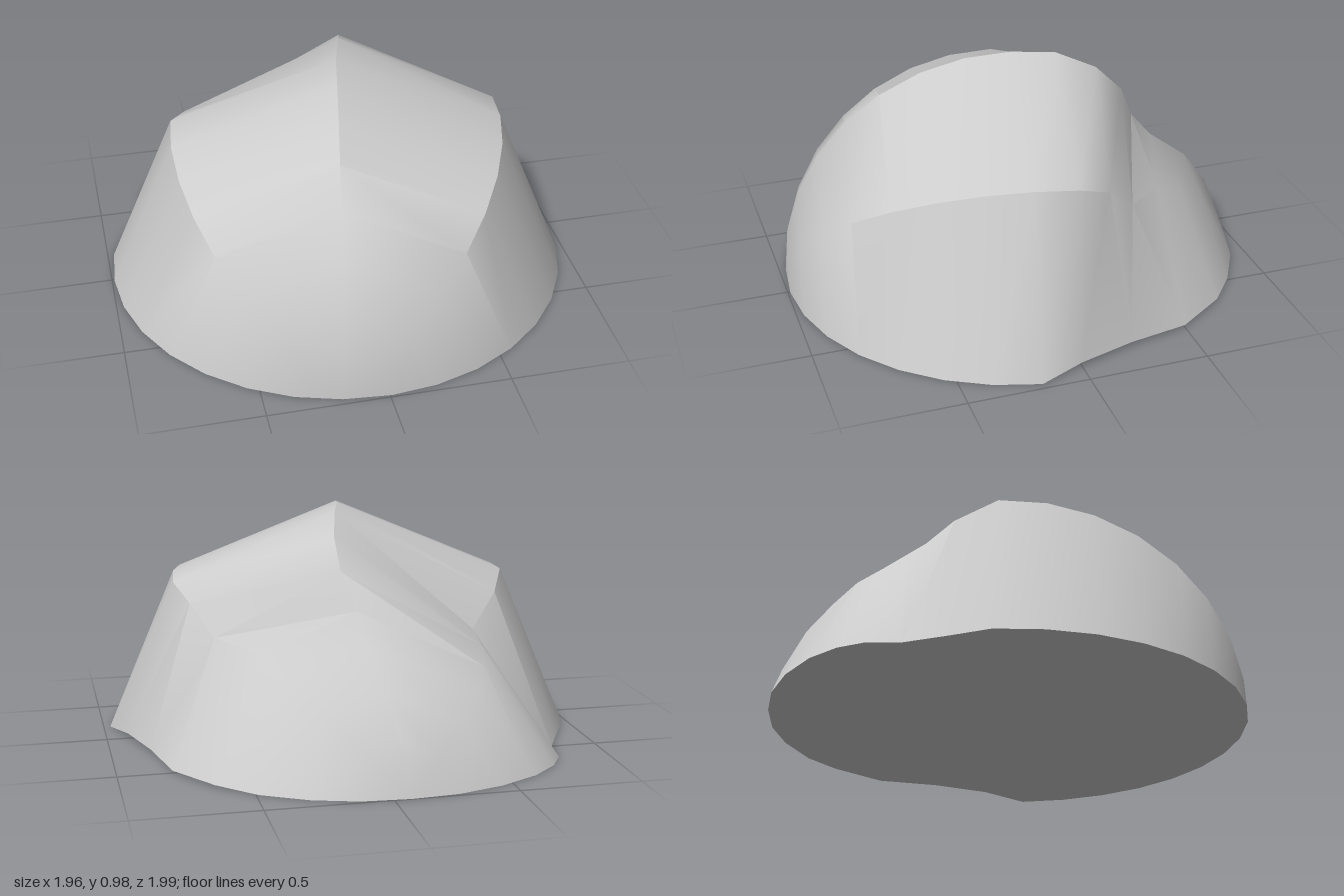
import * as THREE from 'three';
import { toCreasedNormals } from 'three/addons/utils/BufferGeometryUtils.js';

// Back half of the boulder: each row runs from the +x base over the ridge to the -x base
const BACK = [
  [[0.91, 0.02, 0], [0.71, 0.68, -0.05], [0.05, 0.975, -0.18], [-0.61, 0.63, -0.30], [-0.89, 0, -0.34]],
  [[0.84, 0.02, -0.24], [0.66, 0.62, -0.20], [0.09, 0.90, -0.35], [-0.46, 0.52, -0.48], [-0.81, 0, -0.50]],
  [[0.78, 0.01, -0.50], [0.58, 0.50, -0.33], [0.09, 0.78, -0.47], [-0.47, 0.47, -0.57], [-0.79, 0, -0.64]],
  [[0.64, 0.01, -0.71], [0.42, 0.47, -0.51], [0.04, 0.63, -0.54], [-0.45, 0.41, -0.67], [-0.73, 0, -0.74]],
  [[0.49, 0, -0.83], [0.35, 0.39, -0.65], [0.02, 0.51, -0.64], [-0.39, 0.34, -0.76], [-0.62, 0, -0.84]],
  [[0.31, 0, -0.93], [0.22, 0.28, -0.81], [0.00, 0.37, -0.82], [-0.31, 0.25, -0.86], [-0.45, 0, -0.93]],
  [[0.13, 0, -0.985], [0.08, 0.15, -0.94], [-0.04, 0.20, -0.95], [-0.19, 0.13, -0.95], [-0.26, 0, -0.985]],
];

// Front half: half-octagon sections of a ball whose axis is turned slightly about y
function frontRow(i) {
  const t = (i * Math.PI) / 16, turn = 0.19, r = 0.99;
  const along = r * Math.cos(t), out = r * Math.sin(t);
  return [0, 1, 2, 3, 4].map((j) => {
    const a = (j * Math.PI) / 4;
    const side = out * Math.cos(a);
    return [
      side * Math.cos(turn) - along * Math.sin(turn),
      0.99 * out * Math.sin(a),
      side * Math.sin(turn) + along * Math.cos(turn),
    ];
  });
}

function loft(rows) {
  const pos = [];
  const v = (p) => new THREE.Vector3(...p);
  const tri = (a, b, c) => {
    const area = v(b).sub(v(a)).cross(v(c).sub(v(a))).length();
    if (area > 1e-6) pos.push(...a, ...b, ...c);
  };
  for (let i = 0; i < rows.length - 1; i++) {
    for (let j = 0; j < 5; j++) {
      const k = (j + 1) % 5; // the last strip closes the underside
      const a = rows[i][j], b = rows[i][k], c = rows[i + 1][j], d = rows[i + 1][k];
      tri(a, c, d);
      tri(a, d, b);
    }
  }
  const geo = new THREE.BufferGeometry();
  geo.setAttribute('position', new THREE.Float32BufferAttribute(pos, 3));
  return toCreasedNormals(geo, 0.62);
}

export function createModel() {
  const stone = new THREE.MeshStandardMaterial({ color: 0xcccccc });
  stone.name = 'pale stone';

  const rows = [];
  for (let i = 0; i <= 8; i++) rows.push(frontRow(i));
  rows.push(...BACK);
  rows.push(Array.from({ length: 5 }, () => [-0.07, 0, -1])); // rear tip

  const boulder = new THREE.Mesh(loft(rows), stone);
  boulder.name = 'boulder';
  const group = new THREE.Group();
  group.name = 'rock';
  group.add(boulder);
  return group;
}
